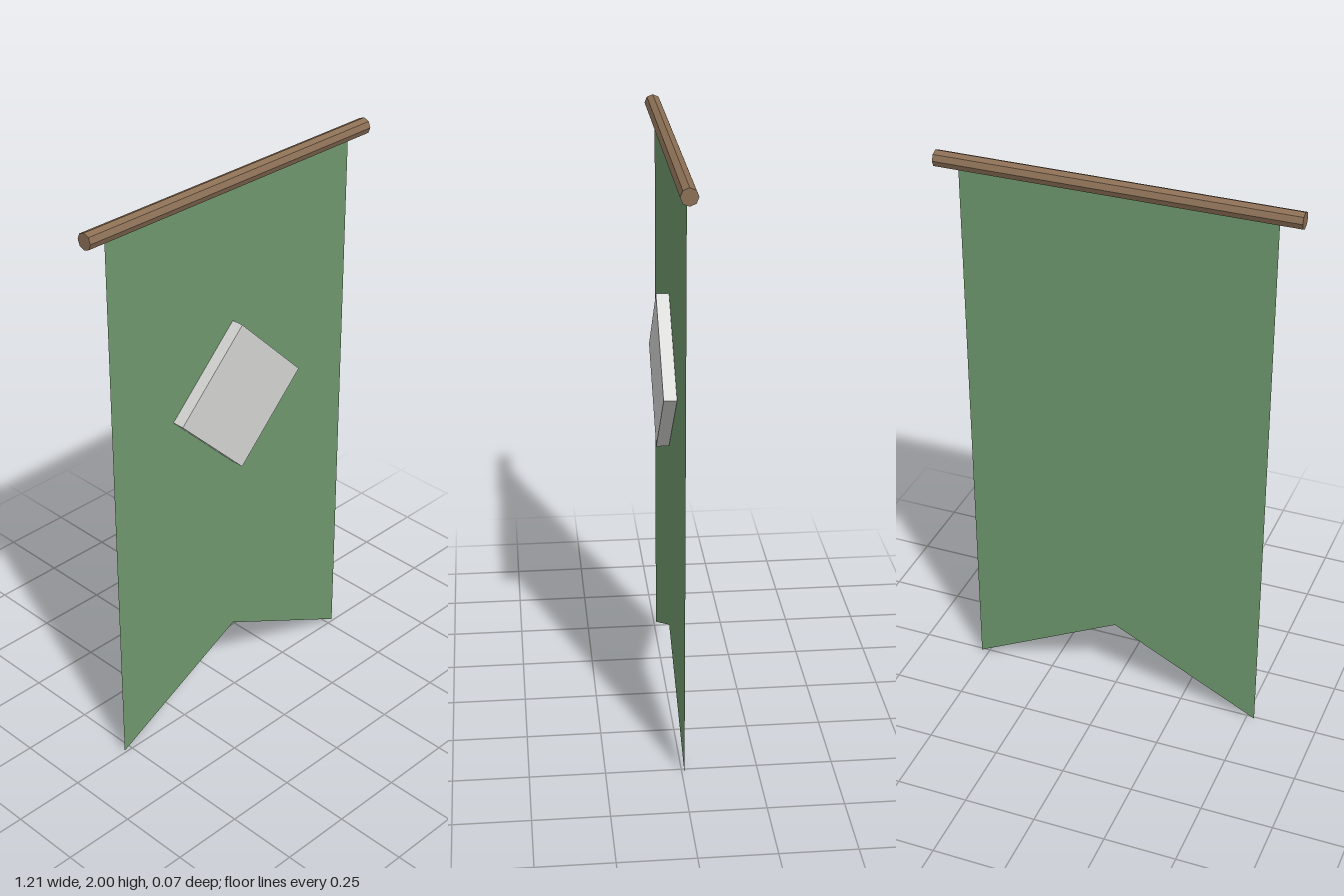
import * as THREE from 'three';

const CLOTH_Z = -0.008;

export function createModel() {
  const wood = new THREE.MeshStandardMaterial({ color: 0x8b6f55, flatShading: true });
  wood.name = 'brown wood';
  const green = new THREE.MeshStandardMaterial({ color: 0x6f986d, side: THREE.DoubleSide });
  green.name = 'green cloth';
  const pale = new THREE.MeshStandardMaterial({ color: 0xd4d4d3 });
  pale.name = 'pale grey';

  const group = new THREE.Group();
  group.name = 'hangingBanner';
  const add = (name, geometry, material, x, y, z) => {
    const mesh = new THREE.Mesh(geometry, material);
    mesh.name = name;
    mesh.position.set(x, y, z);
    group.add(mesh);
    return mesh;
  };

  // Eight-sided rod along x
  const rod = new THREE.CylinderGeometry(0.028, 0.028, 1.21, 8).rotateZ(Math.PI / 2);
  add('rod', rod, wood, 0, 1.972, CLOTH_Z);

  // Flat cloth with a swallowtail notch at the bottom
  const outline = new THREE.Shape([
    [-0.528, 0], [0, 0.27], [0.528, 0], [0.528, 1.972], [-0.528, 1.972],
  ].map(([x, y]) => new THREE.Vector2(x, y)));
  add('cloth', new THREE.ShapeGeometry(outline), green, 0, 0, CLOTH_Z);

  // Raised diamond on the front, its back just clear of the cloth
  const depth = 0.043;
  const emblem = new THREE.BoxGeometry(0.38, 0.38, depth).rotateZ(Math.PI / 4);
  add('diamond', emblem, pale, 0, 1.215, CLOTH_Z + 0.001 + depth / 2);

  return group;
}
